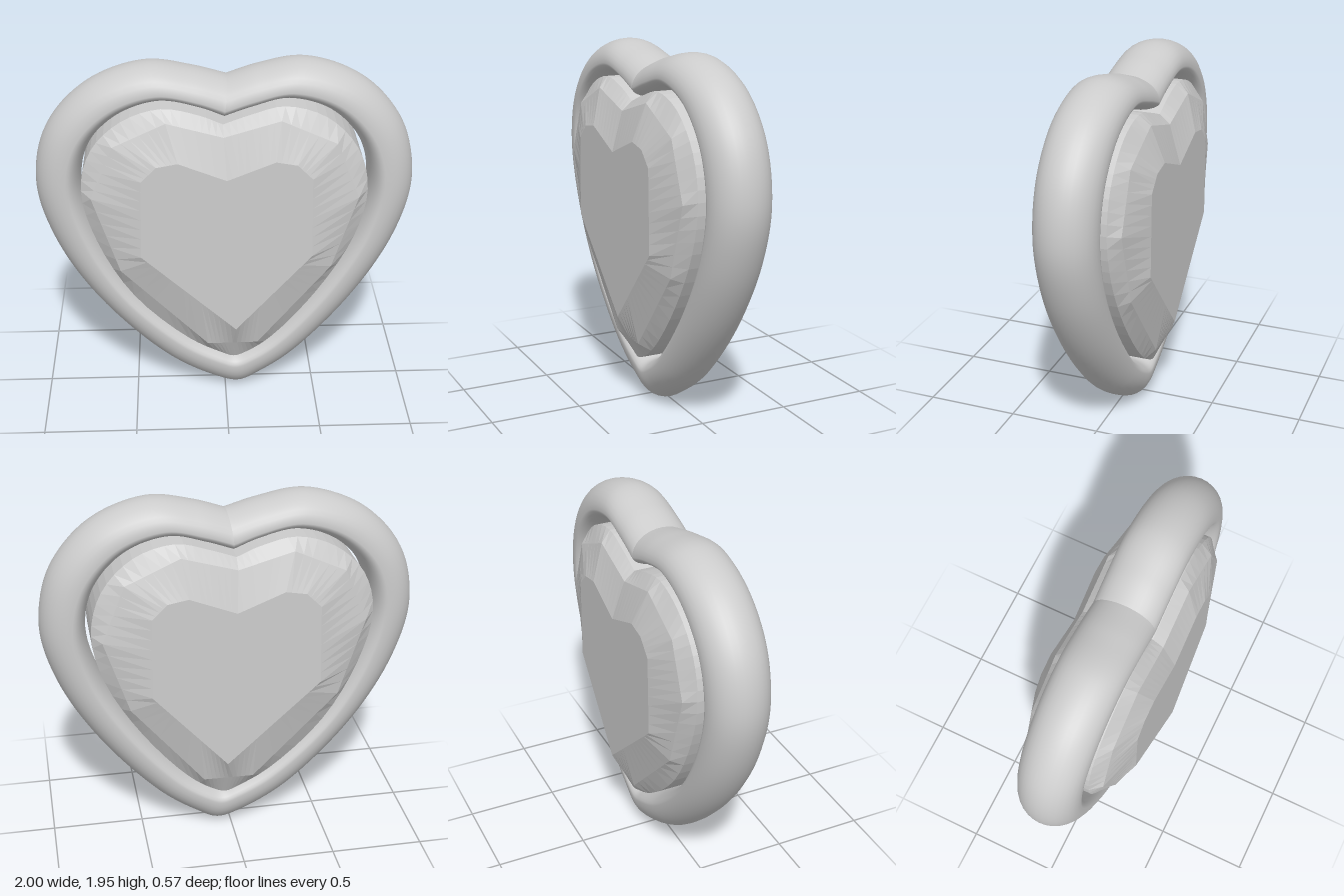
import * as THREE from 'three';

// Heart outlines, clockwise from the notch and back to it (matching indices)
const OUTER = [[0.01, 1.86], [0.18, 1.915], [0.42, 1.95], [0.72, 1.84], [0.93, 1.6], [1, 1.28], [0.93, 0.97],
  [0.73, 0.6], [0.4, 0.21], [0.2, 0.06], [0.08, 0], [-0.05, 0.03], [-0.33, 0.19], [-0.71, 0.59], [-0.93, 0.98],
  [-1, 1.3], [-0.93, 1.6], [-0.72, 1.83], [-0.42, 1.94], [-0.18, 1.91], [0.01, 1.86]];
const INNER = [[-0.01, 1.67], [0.13, 1.72], [0.31, 1.765], [0.53, 1.7], [0.7, 1.52], [0.76, 1.28], [0.7, 1],
  [0.51, 0.66], [0.26, 0.36], [0.13, 0.265], [0.05, 0.235], [-0.02, 0.26], [-0.2, 0.36], [-0.5, 0.65], [-0.69, 1],
  [-0.76, 1.3], [-0.7, 1.53], [-0.54, 1.69], [-0.33, 1.76], [-0.13, 1.72], [-0.01, 1.67]];
// Corners of the flat table of the gem: [outline index, x, y]
const TABLE = [[0, 0, 1.4], [2, 0.25, 1.5], [3, 0.36, 1.48], [4, 0.44, 1.4], [6, 0.45, 0.95], [10, 0.05, 0.5],
  [14, -0.45, 0.96], [16, -0.44, 1.4], [17, -0.36, 1.48], [18, -0.25, 1.5], [20, 0, 1.4]];
// Outline indices where the middle facets meet
const MID = [0, 2, 3.5, 5, 6.5, 8.5, 11.5, 13.5, 15, 16.5, 18, 20];

const spline = pts => new THREE.CatmullRomCurve3(pts.map(([x, y]) => new THREE.Vector3(x, y, 0)));

// Point at index i on a polygon of [index, x, y] corners
function onPolygon(corners, i) {
  let k = 0;
  while (k < corners.length - 2 && corners[k + 1][0] <= i) k++;
  const [a, ax, ay] = corners[k], [b, bx, by] = corners[k + 1], t = (i - a) / (b - a);
  return new THREE.Vector3(ax + (bx - ax) * t, ay + (by - ay) * t, 0);
}

// Skin between rows of points; wrap joins the last row to the first
function loft(rows, wrap) {
  const cols = rows[0].length, index = [];
  for (let r = 0; r < rows.length - (wrap ? 0 : 1); r++) {
    for (let j = 0; j < cols - 1; j++) {
      const p = r * cols + j, q = ((r + 1) % rows.length) * cols + j;
      index.push(p, p + 1, q, p + 1, q + 1, q);
    }
  }
  const g = new THREE.BufferGeometry().setFromPoints(rows.flat());
  g.setIndex(index);
  return g;
}

// Padded heart ring: round outside, blunter inside
function frameGeometry() {
  const outer = spline(OUTER), inner = spline(INNER), rows = [], cols = 160, sides = 32;
  for (let s = 0; s < sides; s++) {
    const a = (s / sides) * Math.PI * 2, c = Math.cos(a);
    const f = 0.68 + (c > 0 ? 0.32 : 0.68) * c;
    rows.push(Array.from({ length: cols + 1 }, (_, j) => {
      const p = outer.getPoint(j / cols).lerp(inner.getPoint(j / cols), f);
      p.z = Math.sin(a) * (0.157 + 0.0075 * p.y);
      return p;
    }));
  }
  const g = loft(rows, true);
  g.computeVertexNormals();
  return g;
}

// Faceted heart gem, the same on front and back
function gemGeometry() {
  const inner = spline(INNER), cols = 80;
  const girdle = i => {
    const p = inner.getPoint(i / 20);
    return p.set(p.x * 0.985 - 0.006, 1.05 + (p.y - 1.05) * 0.985, 0);
  };
  const midCorners = MID.map(i => {
    const p = girdle(i);
    return [i, p.x * 0.93, 1.05 + (p.y - 1.05) * 0.92];
  });
  const rings = [
    [() => new THREE.Vector3(0, 1, 0), 0.287],
    [i => onPolygon(TABLE, i), 0.287],
    [i => onPolygon(midCorners, i), 0.222],
    [girdle, 0.165],
  ];
  const row = ([at, z], side) => Array.from({ length: cols + 1 }, (_, j) => at(j * 20 / cols).setZ(z * side));
  const rows = [...rings.map(r => row(r, 1)), ...rings.slice().reverse().map(r => row(r, -1))];
  const g = loft(rows, false).toNonIndexed(); // flat facets
  g.computeVertexNormals();
  return g;
}

export function createModel() {
  const group = new THREE.Group();
  group.name = 'heartGem';
  const grey = new THREE.MeshStandardMaterial({ color: 0xcccccc });
  grey.name = 'light grey';
  const parts = { heartFrame: frameGeometry(), facetedGem: gemGeometry() };
  for (const [name, geometry] of Object.entries(parts)) {
    const mesh = new THREE.Mesh(geometry, grey);
    mesh.name = name;
    group.add(mesh);
  }
  return group;
}
